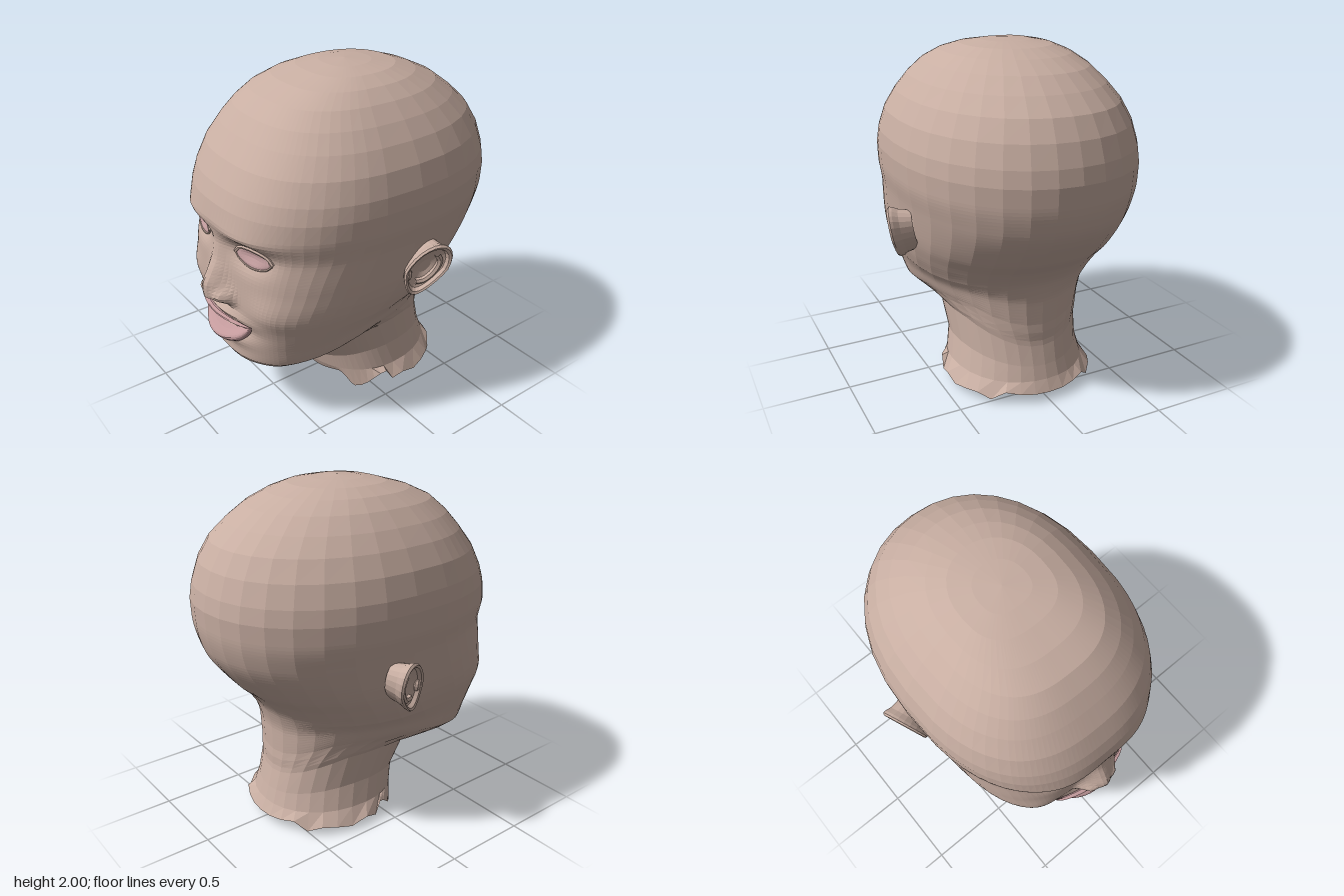
import * as THREE from 'three';

const skin = new THREE.MeshStandardMaterial({ color: 0xc8aea2, side: THREE.DoubleSide });
skin.name = 'skin';
const lip = new THREE.MeshStandardMaterial({ color: 0xc39a9c, side: THREE.DoubleSide });
lip.name = 'lip pink';
const eyePink = new THREE.MeshStandardMaterial({ color: 0xcaa3a4, side: THREE.DoubleSide });
eyePink.name = 'eye pink';

// Head profile: height, front z, back z, half width
const profile = [
  [0.05, 0.21, -0.635, 0.45],
  [0.12, 0.235, -0.60, 0.40],
  [0.20, 0.26, -0.575, 0.37],
  [0.31, 0.34, -0.545, 0.385],
  [0.34, 0.65, -0.54, 0.41],
  [0.36, 0.72, -0.54, 0.425],
  [0.39, 0.765, -0.54, 0.45],
  [0.44, 0.795, -0.535, 0.48],
  [0.57, 0.79, -0.535, 0.515],
  [0.69, 0.79, -0.56, 0.555],
  [0.80, 0.80, -0.63, 0.595],
  [0.90, 0.80, -0.73, 0.62],
  [1.13, 0.80, -0.885, 0.655],
  [1.27, 0.84, -0.915, 0.68],
  [1.38, 0.82, -0.92, 0.685],
  [1.47, 0.785, -0.905, 0.675],
  [1.59, 0.72, -0.865, 0.64],
  [1.70, 0.635, -0.80, 0.58],
  [1.79, 0.56, -0.70, 0.51],
  [1.87, 0.47, -0.59, 0.43],
  [1.93, 0.34, -0.46, 0.345],
  [1.97, 0.20, -0.34, 0.25],
  [1.99, 0.08, -0.20, 0.14],
  [2.00, -0.05, -0.05, 0],
];

// Section shape: height, z of the widest point, squareness of the front
const roundness = [
  [0.05, -0.18, 2.1], [0.32, -0.02, 2.1], [0.44, 0.2, 2.4], [0.57, 0.2, 2.7],
  [0.80, 0.08, 3.2], [0.97, 0, 3.0], [1.27, -0.05, 2.5], [2.0, -0.05, 2.7],
];

// Nose ridge: height, projection, width
const nose = [
  [0.765, 0, 0.08], [0.79, 0.06, 0.085], [0.82, 0.112, 0.09], [0.89, 0.118, 0.085],
  [0.97, 0.08, 0.075], [1.05, 0.038, 0.068], [1.13, 0.02, 0.065], [1.22, 0, 0.065],
];

// Torn lower edge of the neck: z, height
const torn = [
  [-0.64, 0.05], [-0.55, 0.08], [-0.54, 0.02], [-0.45, 0.05], [-0.19, 0.02], [-0.17, 0.09],
  [-0.09, 0.03], [-0.06, 0.105], [0.10, 0], [0.16, 0.09], [0.21, 0.065],
];

// Smooth monotone lookup in a table whose rows start with the key
function lookup(table, key) {
  const last = table.length - 1;
  if (key <= table[0][0]) return table[0];
  if (key >= table[last][0]) return table[last];
  const i = table.findIndex((r) => r[0] >= key);
  const a = table[i - 1], b = table[i], h = b[0] - a[0], t = (key - a[0]) / h;
  const secant = (j, k) => (table[j + 1][k] - table[j][k]) / (table[j + 1][0] - table[j][0]);
  const slope = (j, k) => {
    if (j === 0) return secant(0, k);
    if (j === last) return secant(last - 1, k);
    const p = secant(j - 1, k), q = secant(j, k);
    return p * q <= 0 ? 0 : (2 * p * q) / (p + q);
  };
  return a.map((v, k) => (k === 0 ? key
    : v + (b[k] - v) * t * t * (3 - 2 * t)
      + h * t * (1 - t) * (slope(i - 1, k) * (1 - t) - slope(i, k) * t)));
}

const clamp01 = (v) => Math.min(1, Math.max(0, v));
const bump = (x, y, cx, cy, sx, sy) => Math.exp(-(((x - cx) / sx) ** 2) - ((y - cy) / sy) ** 2);

// Forward relief of the face
function relief(px, y) {
  const x = Math.abs(px);
  const [, ridge, width] = lookup(nose, y);
  return ridge * Math.exp(-((x / width) ** 2))
    + 0.05 * bump(x, y, 0.098, 0.84, 0.042, 0.045)     // nostril wings
    - 0.055 * bump(x, y, 0.25, 1.14, 0.13, 0.075)      // eye sockets
    + 0.018 * bump(x, y, 0.27, 1.245, 0.16, 0.04)      // brows
    + 0.02 * bump(x, y, 0.40, 0.82, 0.12, 0.1)         // cheeks
    + 0.045 * bump(x, y, 0, 0.715, 0.2, 0.035)         // above the upper lip
    + 0.04 * bump(x, y, 0, 0.56, 0.18, 0.045)          // under the lower lip
    - 0.03 * bump(x, y, 0, 0.645, 0.2, 0.035);         // open mouth
}

function frontZ(x, y) {
  const [, zf, , w] = lookup(profile, y);
  const [, zm, n] = lookup(roundness, y);
  const u = Math.min(1, Math.abs(x) / (w || 1));
  return zm + (zf - zm) * (1 - u ** n) ** (1 / n) + relief(x, y);
}

// The jaw line climbs from the chin towards the ears
function jawLift(x, y, z) {
  const band = clamp01((y - 0.12) / 0.19) * clamp01((0.7 - y) / 0.31);
  return 0.13 * band * clamp01(x / 0.36) ** 2 * clamp01((0.65 - z) / 0.6);
}

const faceted = (geometry) => {
  const g = geometry.index ? geometry.toNonIndexed() : geometry;
  g.computeVertexNormals();
  return g;
};

// Faceted surface through rows of points
function grid(rows) {
  const pos = [];
  for (let r = 0; r < rows.length - 1; r++) {
    for (let c = 0; c < rows[r].length - 1; c++) {
      const a = rows[r][c], b = rows[r][c + 1], d = rows[r + 1][c], e = rows[r + 1][c + 1];
      pos.push(...a, ...b, ...e, ...a, ...e, ...d);
    }
  }
  const g = new THREE.BufferGeometry();
  g.setAttribute('position', new THREE.Float32BufferAttribute(pos, 3));
  return faceted(g);
}

function add(parent, name, geometry, material) {
  const mesh = new THREE.Mesh(geometry, material);
  mesh.name = name;
  parent.add(mesh);
  return mesh;
}

// Head and open neck, with fine columns and rows across the face
function headGeometry() {
  const half = [];
  for (let i = 0; i <= 18; i++) half.push([i * 0.04, true]);
  [0.78, 0.84, 0.89, 0.93, 0.96, 0.985, 1].forEach((u) => half.push([u, true]));
  for (let i = 1; i <= 8; i++) half.push([Math.cos((i * Math.PI) / 16), false]);

  const heights = profile.map((s) => s[0]).filter((y) => y < 0.45 || y > 1.3);
  for (let i = 0; i <= 41; i++) heights.push(0.46 + i * 0.02);
  heights.sort((a, b) => a - b);

  const rows = heights.map((y, r) => {
    const [, , zb, w] = lookup(profile, y);
    const zm = lookup(roundness, y)[1];
    const side = half.map(([u, front]) => {
      const x = u * w;
      const z = front ? frontZ(x, y) : zm + (zb - zm) * (1 - u ** 2.15) ** (1 / 2.15);
      return [x, r === 0 ? lookup(torn, z)[1] : y + jawLift(x, y, z), z];
    });
    const mirrored = side.slice(0, -1).reverse().map(([x, yy, z]) => [-x, yy, z]);
    return [...side, ...mirrored];
  });
  return grid(rows);
}

// Bulging patch lying on the face between two height curves, t from -1 to 1
function patch(cx, halfWidth, low, high, bulge, columns, bands) {
  const rows = [];
  for (let j = 0; j <= bands; j++) {
    const s = j / bands, row = [];
    for (let i = 0; i <= columns; i++) {
      const t = -1 + (2 * i) / columns;
      const x = cx + t * halfWidth;
      const y = low(t) + (high(t) - low(t)) * s;
      const swell = bulge * Math.max(0, Math.sin(Math.PI * s)) ** 0.7 * Math.sqrt(Math.max(0, 1 - t * t));
      row.push([x, y, frontZ(x, y) + 0.006 + swell]);
    }
    rows.push(row);
  }
  return grid(rows);
}

// Eyelid rim following a height curve
function lid(cx, curve, radius) {
  const pts = [];
  for (let i = 0; i <= 10; i++) {
    const t = -1 + i / 5, x = cx + t * 0.126, y = curve(t);
    pts.push(new THREE.Vector3(x, y, frontZ(x, y) + 0.006));
  }
  return faceted(new THREE.TubeGeometry(new THREE.CatmullRomCurve3(pts), 16, radius, 6));
}

// Ear: outline rings from the root, round the rim and into the bowl
function makeEar() {
  const ear = new THREE.Group();
  const point = (a, s, h) => {
    const v = Math.sin(a) * 0.172 * s;
    const narrow = v < 0 ? 1 + v * 2.2 : 1;
    return [Math.cos(a) * 0.128 * s * narrow + v * 0.3, v, h];
  };
  const rings = [[0.74, -0.1], [0.86, -0.03], [0.97, 0], [1, 0.016], [0.94, 0.028],
    [0.84, 0.022], [0.77, 0.0], [0.5, -0.015], [0.25, -0.025], [0, -0.025]];
  const rows = rings.map(([s, h]) => {
    const row = [];
    for (let i = 0; i <= 24; i++) row.push(point((i / 24) * Math.PI * 2, s, h));
    return row;
  });
  add(ear, 'earShell', grid(rows), skin);
  const fold = [-1.9, -1.1, -0.3, 0.5, 1.2].map((a) => new THREE.Vector3(...point(a, 0.56, -0.006)));
  add(ear, 'earFold', faceted(new THREE.TubeGeometry(new THREE.CatmullRomCurve3(fold), 12, 0.018, 6)), skin);
  const flap = add(ear, 'earFlap', faceted(new THREE.SphereGeometry(0.03, 8, 6)), skin);
  flap.position.set(-0.1, -0.035, 0.0);
  flap.scale.set(0.8, 1.3, 0.8);
  ear.rotation.set(0, Math.PI / 2 - 0.38, -0.17, 'ZYX');
  ear.position.set(0.687, 0.968, -0.095);
  return ear;
}

export function createModel() {
  const model = new THREE.Group();
  model.name = 'head';
  add(model, 'headAndNeck', headGeometry(), skin);

  // Eyes, lids and ears
  const arch = (t) => Math.max(0, 1 - t * t) ** 0.6;
  const upper = (t) => 1.13 + 0.058 * arch(t);
  const lower = (t) => 1.13 - 0.054 * arch(t);
  for (const side of [1, -1]) {
    const name = side > 0 ? 'left' : 'right';
    const cx = side * 0.265;
    add(model, name + 'Eye', patch(cx, 0.122, lower, upper, 0.018, 14, 6), eyePink);
    add(model, name + 'UpperLid', lid(cx, upper, 0.011), skin);
    add(model, name + 'LowerLid', lid(cx, lower, 0.006), skin);

    const earSide = new THREE.Group();
    earSide.name = name + 'Ear';
    earSide.add(makeEar());
    earSide.scale.x = side;
    model.add(earSide);
  }

  // Smiling lips
  add(model, 'upperLip', patch(0, 0.27, (t) => 0.68 + 0.02 * t * t,
    (t) => 0.71 - 0.006 * t * t, 0.035, 20, 5), lip);
  add(model, 'lowerLip', patch(0, 0.265, (t) => 0.53 + 0.165 * Math.abs(t) ** 3,
    (t) => 0.612 + 0.09 * t * t, 0.04, 20, 7), lip);
  return model;
}
